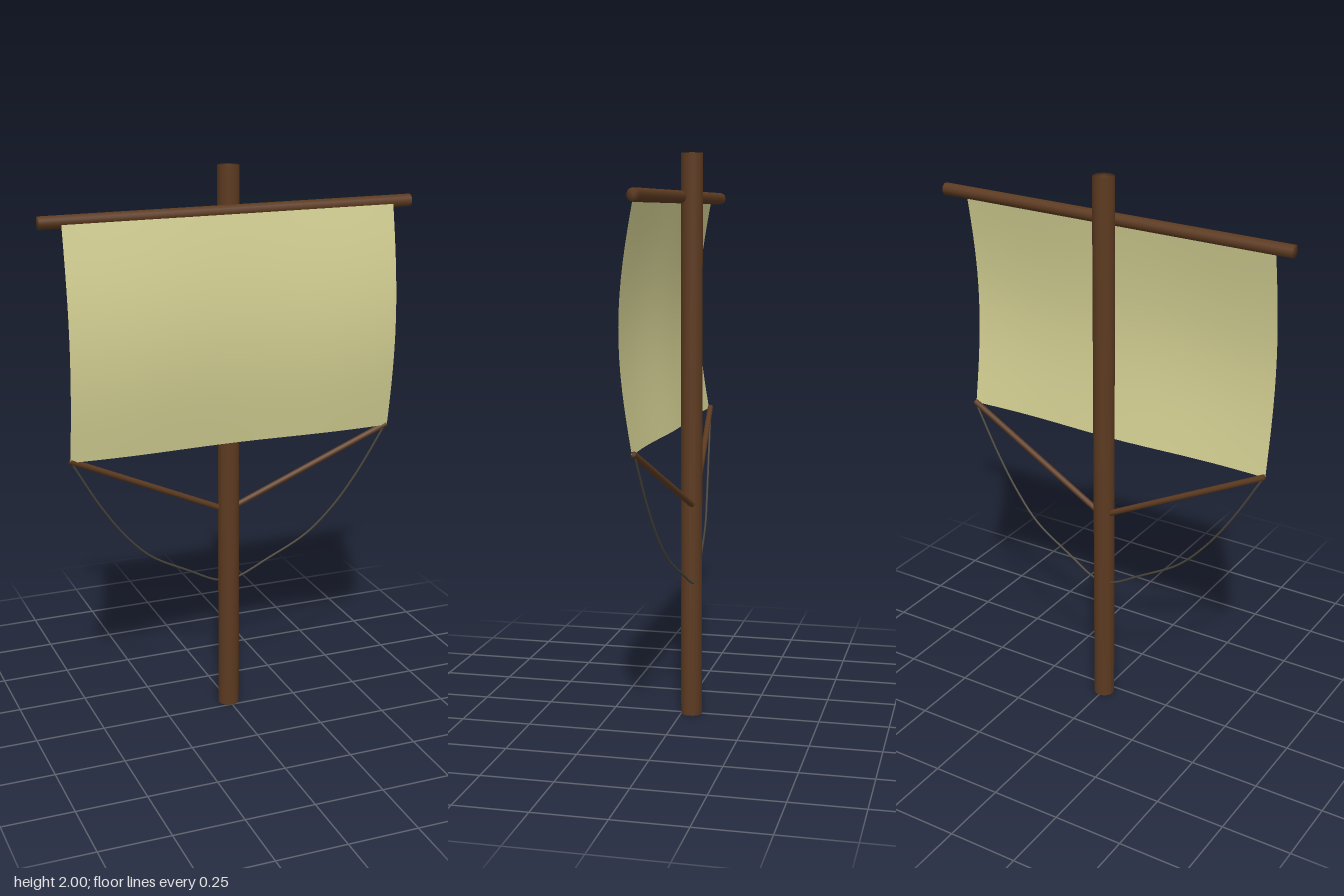
import * as THREE from 'three';
import { mergeVertices } from 'three/addons/utils/BufferGeometryUtils.js';

const wood = new THREE.MeshStandardMaterial({ color: 0x5c3a20 });
const cloth = new THREE.MeshStandardMaterial({ color: 0xd2ce92, side: THREE.DoubleSide });
const cord = new THREE.MeshStandardMaterial({ color: 0x48443a });

function add(parent, name, geometry, material) {
  const mesh = new THREE.Mesh(geometry, material);
  mesh.name = name;
  parent.add(mesh);
  return mesh;
}

// Round pole between two points, with normals blended over its ends
function pole(parent, name, from, to, radius, sides) {
  const a = new THREE.Vector3(...from), b = new THREE.Vector3(...to);
  const dir = b.clone().sub(a);
  let geo = new THREE.CylinderGeometry(radius, radius, dir.length(), sides);
  geo.deleteAttribute('normal');
  geo.deleteAttribute('uv');
  geo = mergeVertices(geo);
  geo.computeVertexNormals();
  const mesh = add(parent, name, geo, wood);
  mesh.position.copy(a).add(b).multiplyScalar(0.5);
  mesh.quaternion.setFromUnitVectors(new THREE.Vector3(0, 1, 0), dir.normalize());
  return mesh;
}

export function createModel() {
  const model = new THREE.Group();
  model.name = 'mastWithSail';

  pole(model, 'mast', [0, 0, -0.035], [0, 2, -0.035], 0.038, 16);
  pole(model, 'yard', [-0.67, 1.85, 0], [0.67, 1.85, 0], 0.022, 12);

  // Sail bellied forward, with a shallow wave across its width
  const sail = new THREE.PlaneGeometry(1.195, 0.81, 24, 16);
  sail.translate(0, 1.443, 0);
  const p = sail.attributes.position;
  for (let i = 0; i < p.count; i++) {
    const t = (1.848 - p.getY(i)) / 0.81;
    const wave = 0.006 * Math.cos(p.getX(i) * Math.PI / 0.4) * Math.sin(t * Math.PI / 2);
    p.setZ(i, 0.019 + 0.046 * Math.sin(Math.PI * t) + 0.008 * t - wave);
  }
  sail.computeVertexNormals();
  add(model, 'sail', sail, cloth);

  // Struts and slack ropes holding the lower corners
  for (const [side, s] of [['left', 1], ['right', -1]]) {
    pole(model, side + 'Strut', [0, 0.762, -0.046], [s * 0.597, 1.042, 0.022], 0.011, 8);
    const curve = new THREE.CatmullRomCurve3([
      [0.595, 1.04, 0.02], [0.49, 0.86, 0.006], [0.4, 0.735, -0.007], [0.3, 0.635, -0.022],
      [0.15, 0.55, -0.037], [0.05, 0.497, -0.047], [0, 0.485, -0.05],
    ].map(([x, y, z]) => new THREE.Vector3(s * x, y, z)));
    add(model, side + 'Rope', new THREE.TubeGeometry(curve, 32, 0.004, 6), cord);
  }
  return model;
}
